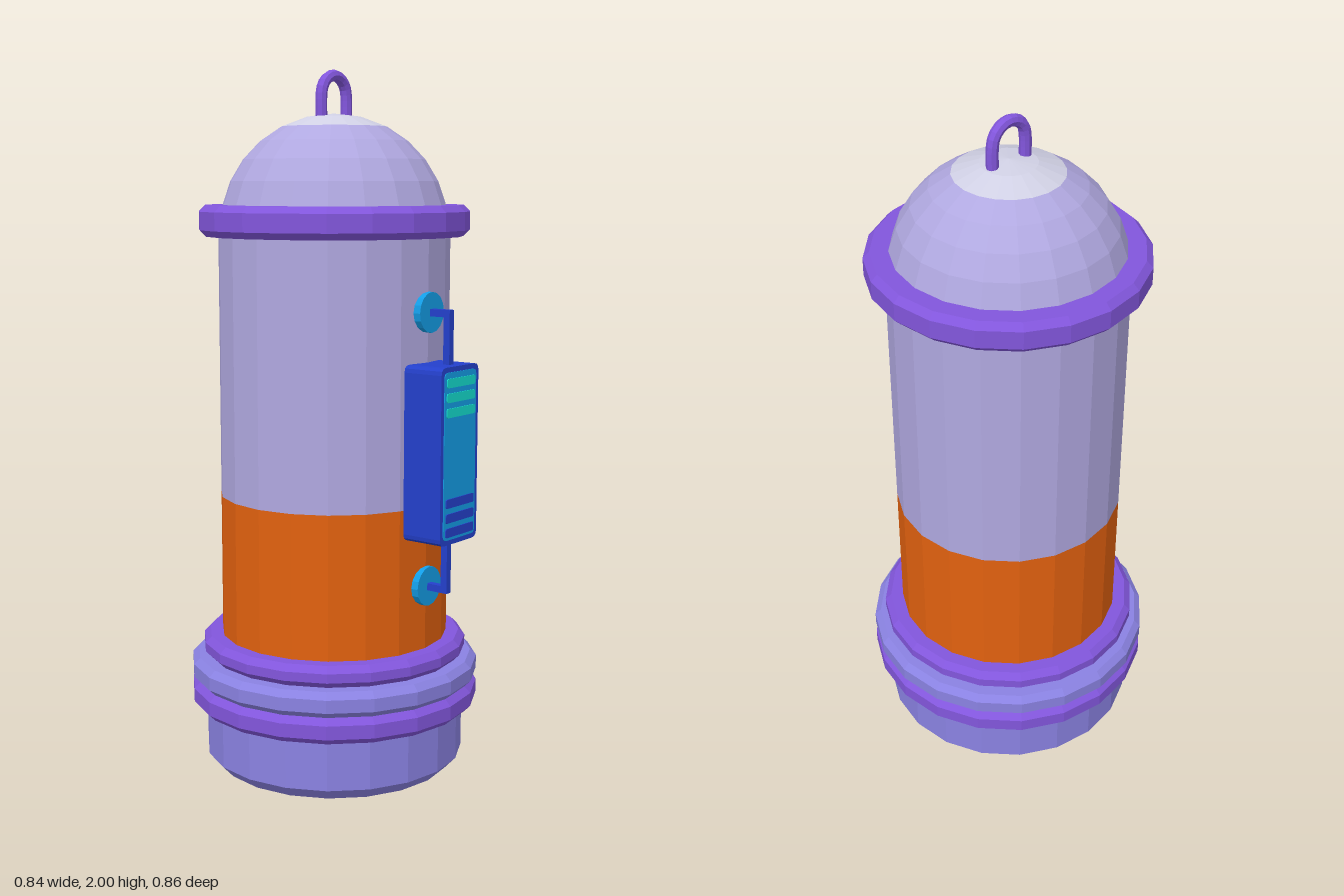
import * as THREE from 'three';

const paint = (name, color) => {
  const m = new THREE.MeshStandardMaterial({ color });
  m.name = name;
  return m;
};

export function createModel() {
  const lavender = paint('lavender', 0xb0a8e0);
  const pale = paint('pale cap', 0xd0d0e4);
  const orange = paint('orange', 0xe2610f);
  const violet = paint('violet', 0x8256dc);
  const periwinkle = paint('periwinkle', 0x8a82e2);
  const blue = paint('deep blue', 0x2440cc);
  const cyan = paint('cyan', 0x139ee8);
  const teal = paint('teal', 0x14dcce);

  const model = new THREE.Group();
  const canister = new THREE.Group();
  canister.name = 'canister';
  canister.position.z = -0.013;
  model.add(canister);

  // Adds a faceted mesh
  const add = (name, geometry, material, x = 0, y = 0, z = 0) => {
    const g = geometry.index ? geometry.toNonIndexed() : geometry;
    g.computeVertexNormals();
    const mesh = new THREE.Mesh(g, material);
    mesh.name = name;
    mesh.position.set(x, y, z);
    canister.add(mesh);
    return mesh;
  };
  const lathe = (name, points, material) =>
    add(name, new THREE.LatheGeometry(points.map(([r, y]) => new THREE.Vector2(r, y)), 20), material);

  // Base with chamfered foot
  lathe('base', [[0, 0], [0.345, 0], [0.378, 0.035], [0.378, 0.2]], periwinkle);

  // Bevelled rings
  const ring = (name, r, y0, y1, material, c = 0.018) =>
    lathe(name, [[0.31, y0], [r - c, y0], [r, y0 + c], [r, y1 - c], [r - c, y1], [0.31, y1]], material);
  ring('lowerRing', 0.42, 0.18, 0.255, violet);
  ring('middleRing', 0.42, 0.255, 0.328, periwinkle);
  ring('upperBaseRing', 0.385, 0.328, 0.39, violet);
  ring('topRing', 0.385, 1.54, 1.627, violet);

  // Two-tone tank
  lathe('lowerTank', [[0.33, 0.35], [0.33, 0.8]], orange);
  lathe('upperTank', [[0.33, 0.8], [0.33, 1.6]], lavender);

  // Dome and its pale cap, given as angles from the top
  const arc = (angles) => angles.map((a) => {
    const t = THREE.MathUtils.degToRad(a);
    return [0.325 * Math.sin(t), 1.555 + 0.325 * Math.cos(t)];
  });
  lathe('dome', arc([90, 77.5, 65, 52.5, 40, 27.4]), lavender);
  lathe('domeCap', arc([27.4, 13.7, 0]), pale);

  // Carrying loop
  const loop = [new THREE.Vector3(0.055, 1.85, 0)];
  for (let i = 0; i <= 8; i++) {
    const t = (i / 8) * Math.PI;
    loop.push(new THREE.Vector3(0.055 * Math.cos(t), 1.929 + 0.055 * Math.sin(t), 0));
  }
  loop.push(new THREE.Vector3(-0.055, 1.85, 0));
  add('handle', new THREE.TubeGeometry(new THREE.CatmullRomCurve3(loop), 20, 0.0165, 8), violet);

  // Rounded upright plate, extruded towards the front
  const plate = (w, h, r, depth) => {
    const x = w / 2, y = h / 2;
    const s = new THREE.Shape();
    s.moveTo(-x + r, -y);
    s.lineTo(x - r, -y);
    s.quadraticCurveTo(x, -y, x, -y + r);
    s.lineTo(x, y - r);
    s.quadraticCurveTo(x, y, x - r, y);
    s.lineTo(-x + r, y);
    s.quadraticCurveTo(-x, y, -x, y - r);
    s.lineTo(-x, -y + r);
    s.quadraticCurveTo(-x, -y, -x + r, -y);
    return new THREE.ExtrudeGeometry(s, { depth, bevelEnabled: false, curveSegments: 3 });
  };

  // Control box with face panel and stripes
  add('controlBox', plate(0.176, 0.488, 0.02, 0.137), blue, 0, 0.958, 0.301);
  add('facePanel', plate(0.15, 0.46, 0.015, 0.004), cyan, 0, 0.958, 0.436);
  [1.159, 1.119, 1.078].forEach((y) =>
    add('upperStripe', plate(0.132, 0.025, 0.006, 0.004), teal, 0, y, 0.439));
  [0.83, 0.789, 0.749].forEach((y) =>
    add('lowerStripe', plate(0.132, 0.025, 0.006, 0.004), blue, 0, y, 0.439));

  // Bent pipes running from the box to the wall discs
  [[1.34, 1.18], [0.573, 0.74]].forEach(([y, boxY]) => {
    const disc = new THREE.CylinderGeometry(0.056, 0.056, 0.03, 16).rotateX(Math.PI / 2);
    add('wallDisc', disc, cyan, 0, y, 0.328);
    const rise = Math.abs(boxY - y) + 0.01;
    const dir = Math.sign(boxY - y);
    add('pipeUpright', new THREE.BoxGeometry(0.02, rise, 0.02), blue,
      0, y - dir * 0.01 + dir * rise / 2, 0.398);
    add('pipeStub', new THREE.BoxGeometry(0.02, 0.02, 0.08), blue, 0, y, 0.358);
  });

  return model;
}
